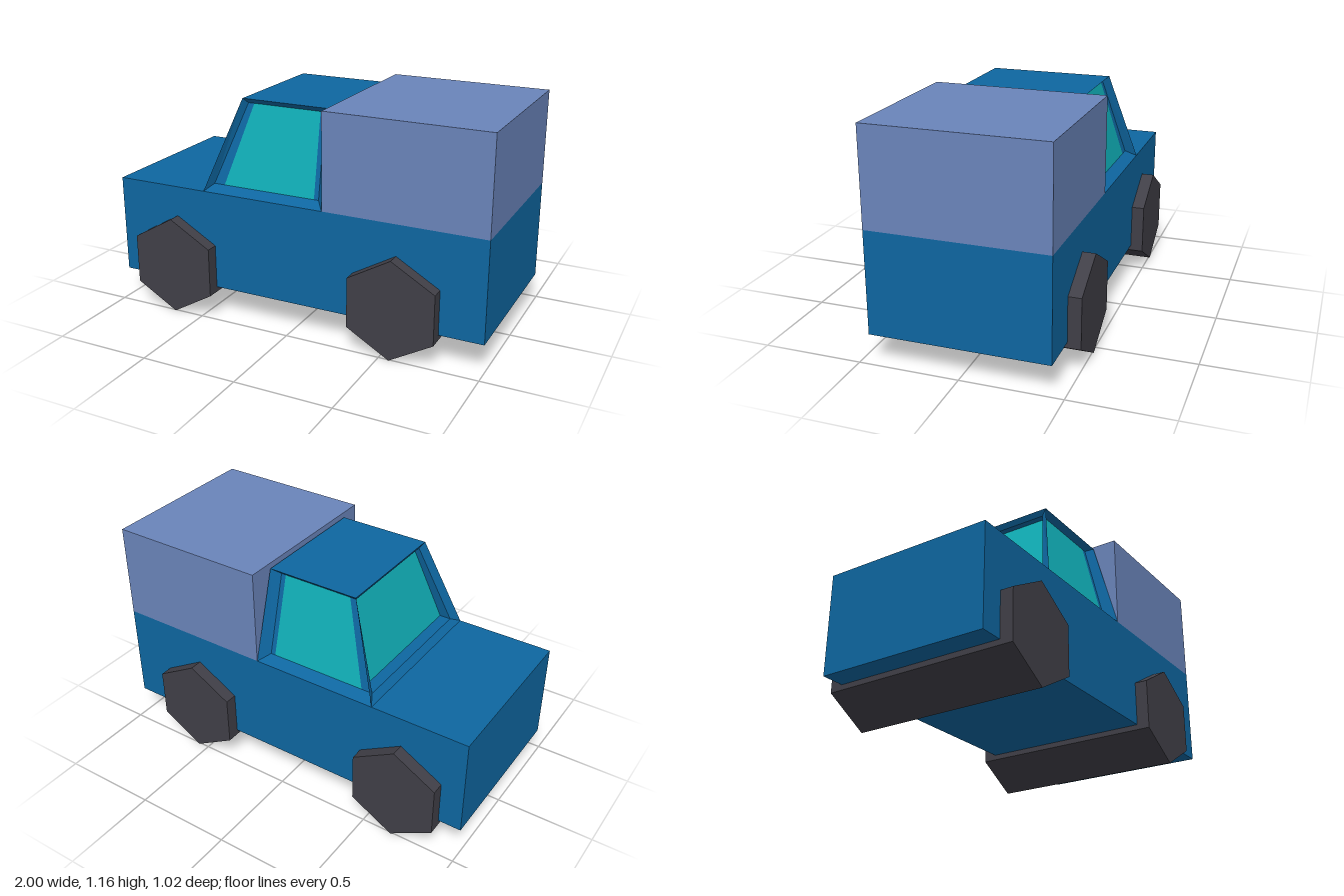
import * as THREE from 'three';

const material = (name, color) => {
  const m = new THREE.MeshStandardMaterial({ color, flatShading: true });
  m.name = name;
  return m;
};

// Four corners of a level rectangle, counterclockwise from the front right
const rectangle = (x0, x1, y, z) => [[x0, y, z], [x1, y, z], [x1, y, -z], [x0, y, -z]];

// One side of a tapered block: bottom pair, then top pair, seen from outside
const side = ({ low, high }, k) => {
  const n = (k + 1) % 4;
  return [low[k], low[n], high[n], high[k]];
};

const quadGeometry = (quads) => {
  const points = quads.flatMap(([a, b, c, d]) => [a, b, c, a, c, d]).flat();
  const g = new THREE.BufferGeometry();
  g.setAttribute('position', new THREE.Float32BufferAttribute(points, 3));
  g.computeVertexNormals();
  return g;
};

export function createModel() {
  const model = new THREE.Group();
  model.name = 'deliveryTruck';
  const blue = material('body blue', 0x0e66a0);
  const lilac = material('cargo lilac blue', 0x6a84ba);
  const teal = material('window teal', 0x10adb5);
  const rubber = material('tyre grey', 0x403f47);

  const add = (name, geometry, mat, x = 0, y = 0, z = 0) => {
    const mesh = new THREE.Mesh(geometry, mat);
    mesh.name = name;
    mesh.position.set(x, y, z);
    model.add(mesh);
  };

  // Lower body and cargo box
  add('body', new THREE.BoxGeometry(2, 0.515, 0.885), blue, 0, 0.4125, 0);
  add('cargoBox', new THREE.BoxGeometry(0.83, 0.49, 0.885), lilac, 0.585, 0.915, 0);

  // Cab: outer edges, recess edges and the glass core
  const outer = { low: rectangle(-0.495, 0.169, 0.67, 0.4425), high: rectangle(-0.324, 0.158, 1.141, 0.32) };
  const recess = { low: rectangle(-0.463, 0.125, 0.70, 0.385), high: rectangle(-0.308, 0.115, 1.114, 0.29) };
  const glass = { low: rectangle(-0.404, 0.10, 0.70, 0.385), high: rectangle(-0.275, 0.09, 1.114, 0.29) };

  const frame = [outer.high];
  const panes = [];
  for (let k = 0; k < 4; k++) {
    const a = side(outer, k), b = side(recess, k), c = side(glass, k);
    panes.push(c);
    for (let i = 0; i < 4; i++) {
      const n = (i + 1) % 4;
      frame.push([a[i], a[n], b[n], b[i]]);
      // Pillar strips beside the panes, and ledges at the windshield and rear
      if (k % 2 === 1 || i % 2 === 1) frame.push([b[i], b[n], c[n], c[i]]);
    }
  }
  add('cabFrame', quadGeometry(frame), blue);
  add('cabWindows', quadGeometry(panes), teal);

  // Six-sided rollers spanning the full width
  const wheel = new THREE.CylinderGeometry(0.256, 0.256, 1.016, 6).rotateX(Math.PI / 2);
  add('frontWheels', wheel, rubber, -0.66, 0.256, 0);
  add('rearWheels', wheel, rubber, 0.555, 0.256, 0);

  return model;
}
